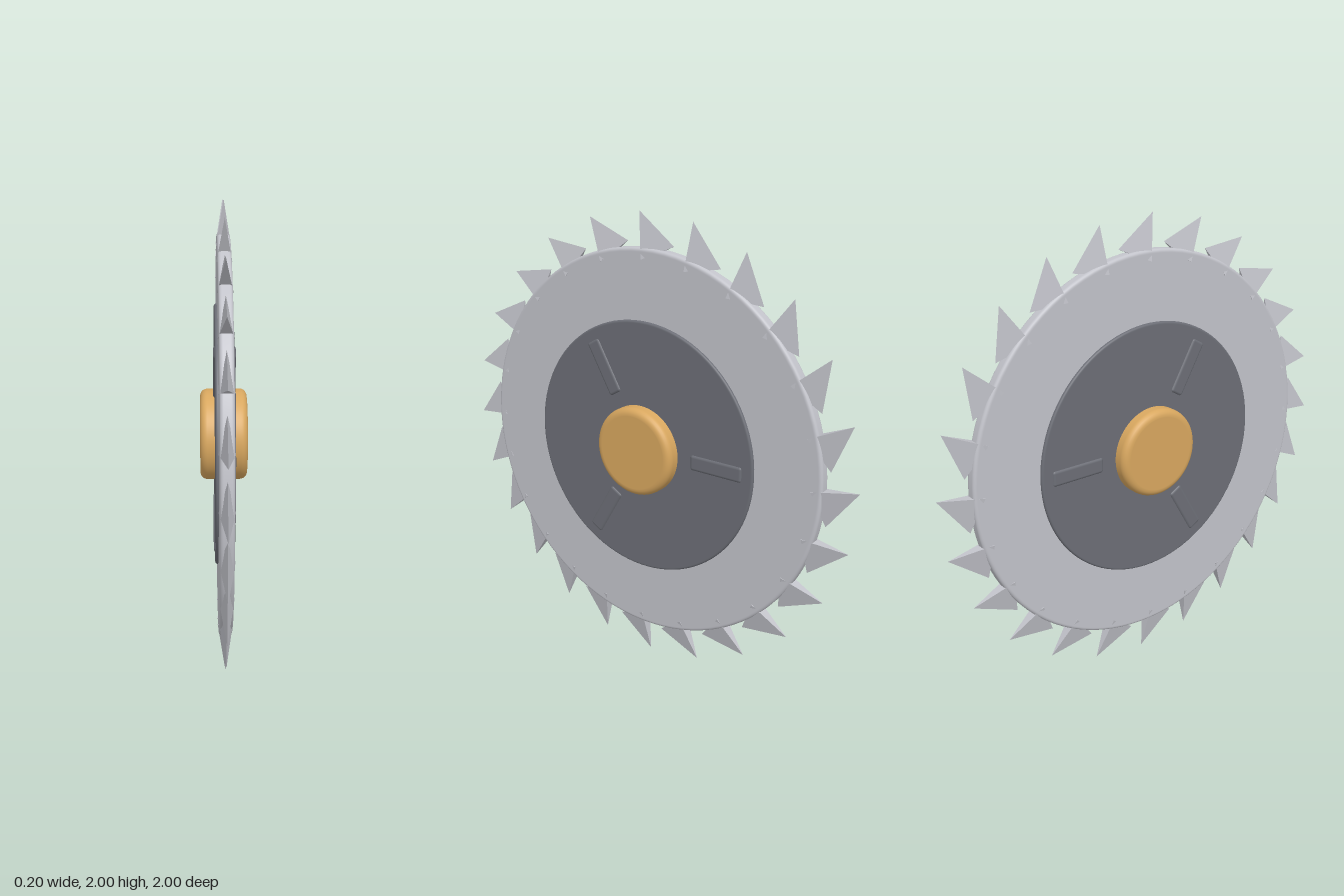
import * as THREE from 'three';
import { RoundedBoxGeometry } from 'three/addons/geometries/RoundedBoxGeometry.js';

const steel = new THREE.MeshStandardMaterial({ color: 0xc2c3ca });
steel.name = 'steel';
const darkSteel = new THREE.MeshStandardMaterial({ color: 0x6c6e76 });
darkSteel.name = 'darkSteel';
const brass = new THREE.MeshStandardMaterial({ color: 0xd8a75f });
brass.name = 'brass';

// Solid disc about the x axis with rounded rims
function roundedDisc(radius, half, bevel) {
  const pts = [new THREE.Vector2(0, -half), new THREE.Vector2(radius - bevel - 0.003, -half)];
  for (const side of [-1, 1]) {
    for (let i = 0; i <= 6; i++) {
      const a = (side < 0 ? i / 6 - 1 : i / 6) * Math.PI / 2;
      pts.push(new THREE.Vector2(
        radius - bevel + bevel * Math.cos(a),
        side * (half - bevel) + bevel * Math.sin(a)));
    }
  }
  pts.push(new THREE.Vector2(radius - bevel - 0.003, half), new THREE.Vector2(0, half));
  return new THREE.LatheGeometry(pts, 96).rotateZ(-Math.PI / 2);
}

// Raked three-sided spike: two corners buried in the rim, one trailing corner, one tip
function toothGeometry() {
  const tip = [0, 1.0, 0.032];
  const rootA = [0.031, 0.81, 0.003];
  const rootB = [-0.031, 0.81, 0.003];
  const trail = [0, 0.87, -0.14];
  const faces = [
    tip, rootB, rootA,
    tip, rootA, trail,
    tip, trail, rootB,
    rootA, rootB, trail,
  ];
  const geo = new THREE.BufferGeometry();
  geo.setAttribute('position', new THREE.Float32BufferAttribute(faces.flat(), 3));
  geo.computeVertexNormals();
  return geo;
}

export function createModel() {
  const model = new THREE.Group();
  model.name = 'sawBlade';
  const wheel = new THREE.Group();
  wheel.name = 'wheel';
  wheel.position.y = 1;
  model.add(wheel);

  const add = (name, geo, mat) => {
    const mesh = new THREE.Mesh(geo, mat);
    mesh.name = name;
    wheel.add(mesh);
    return mesh;
  };

  // Blade, raised plate and central boss
  add('blade', roundedDisc(0.857, 0.027, 0.014), steel);
  add('hubPlate', roundedDisc(0.56, 0.039, 0.009), darkSteel);
  add('boss', roundedDisc(0.196, 0.1, 0.03), brass);

  // Teeth around the rim
  const tooth = toothGeometry();
  for (let i = 0; i < 24; i++) {
    add('tooth', tooth, steel).rotation.x = i * Math.PI / 12;
  }

  // Three rounded ribs, showing on both faces of the hub plate
  const rib = new RoundedBoxGeometry(0.09, 0.07, 0.25, 3, 0.013);
  rib.translate(0, 0, -0.385);
  for (let i = 0; i < 3; i++) {
    add('rib', rib, darkSteel).rotation.x = i * Math.PI * 2 / 3;
  }
  return model;
}
